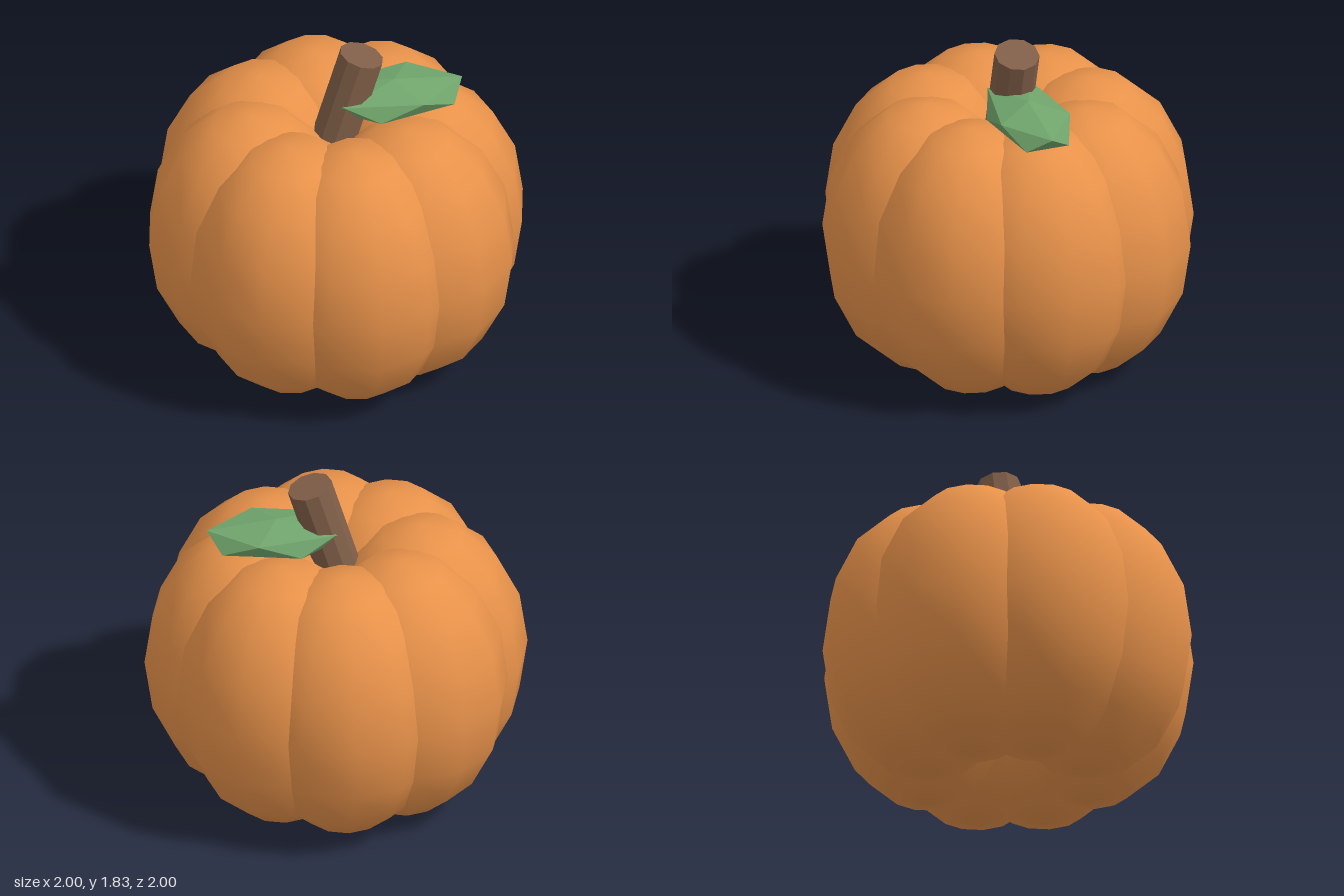
import * as THREE from 'three';
import { ConvexGeometry } from 'three/addons/geometries/ConvexGeometry.js';

const RIBS = 8;

function addMesh(parent, name, geometry, material, x, y, z) {
  const mesh = new THREE.Mesh(geometry, material);
  mesh.name = name;
  mesh.position.set(x, y, z);
  parent.add(mesh);
  return mesh;
}

// Upright icosahedron: two poles and two staggered rings of five
function leafGeometry(rx, ry, rz) {
  const points = [new THREE.Vector3(0, ry, 0), new THREE.Vector3(0, -ry, 0)];
  const h = 1 / Math.sqrt(5);
  for (let i = 0; i < 10; i++) {
    const a = (i * Math.PI) / 5;
    points.push(new THREE.Vector3(
      2 * h * rx * Math.cos(a), (i % 2 ? -h : h) * ry, 2 * h * rz * Math.sin(a)));
  }
  return new ConvexGeometry(points);
}

export function createModel() {
  const model = new THREE.Group();
  model.name = 'pumpkin';
  const orange = new THREE.MeshStandardMaterial({ color: 0xe8924a });
  const brown = new THREE.MeshStandardMaterial({ color: 0x805f48, flatShading: true });
  const green = new THREE.MeshStandardMaterial({ color: 0x70a56c, flatShading: true });

  // Body: a ring of overlapping tall spheres, all facing the same way
  const body = new THREE.Group();
  body.name = 'body';
  model.add(body);
  const ribGeometry = new THREE.SphereGeometry(0.55, 12, 8);
  ribGeometry.scale(1, 0.757 / 0.55, 1);
  for (let i = 0; i < RIBS; i++) {
    const a = (i * 2 * Math.PI) / RIBS;
    addMesh(body, 'rib', ribGeometry, orange, 0.45 * Math.cos(a), 0.76, 0.45 * Math.sin(a));
  }

  // Stem: ten-sided, leaning towards +x
  const stemGeometry = new THREE.CylinderGeometry(0.118, 0.118, 0.5, 10, 1, false, Math.PI / 2);
  const stem = addMesh(model, 'stem', stemGeometry, brown, 0.067, 1.557, 0);
  stem.rotation.z = -0.286;

  // Leaf: flattened faceted lozenge beside the stem
  addMesh(model, 'leaf', leafGeometry(0.408, 0.092, 0.223), green, 0.31, 1.518, 0);

  return model;
}
